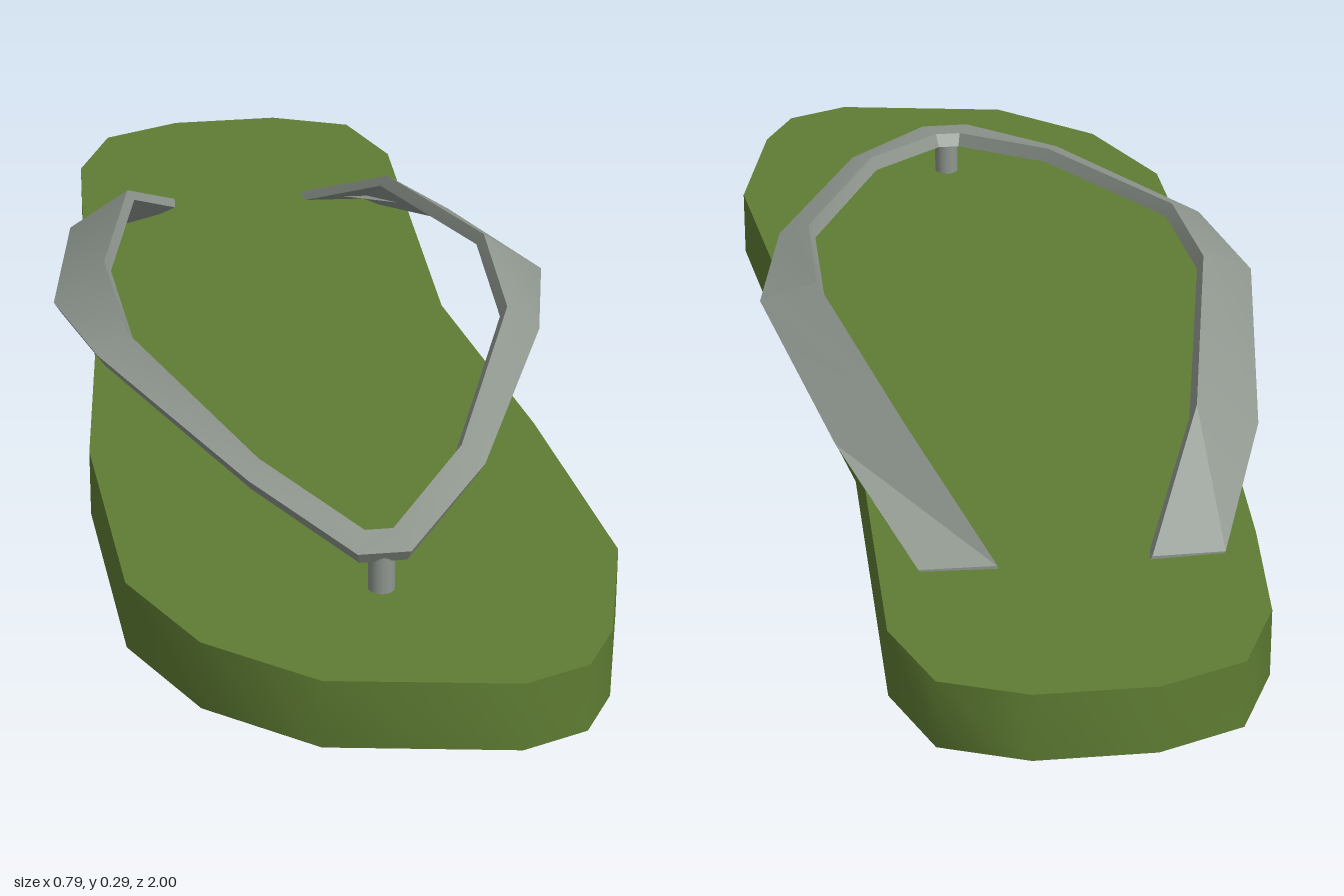
import * as THREE from 'three';
import { toCreasedNormals } from 'three/addons/utils/BufferGeometryUtils.js';

// Sweeps four-cornered sections (outer top, inner top, inner bottom, outer bottom) into a solid band.
function bandGeometry(sections) {
  const index = [];
  const last = (sections.length - 1) * 4;
  for (let i = 0; i < last; i += 4) {
    for (let k = 0; k < 4; k++) {
      const n = (k + 1) % 4;
      index.push(i + k, i + 4 + k, i + 4 + n, i + k, i + 4 + n, i + n);
    }
  }
  index.push(0, 1, 2, 0, 2, 3);
  index.push(last, last + 2, last + 1, last, last + 3, last + 2);
  const geometry = new THREE.BufferGeometry();
  geometry.setAttribute('position', new THREE.Float32BufferAttribute(sections.flat(2), 3));
  geometry.setIndex(index);
  return toCreasedNormals(geometry, 0.35);
}

// Makes a section from its two top edges; the underside leans inward.
function section([ox, oy, oz], [ix, iy, iz], thickness = 0.02) {
  const width = Math.hypot(ix - ox, iz - oz);
  const lean = 0.6 * thickness;
  const dx = ((ix - ox) / width) * lean;
  const dz = ((iz - oz) / width) * lean;
  return [
    [ox, oy, oz], [ix, iy, iz],
    [ix + dx, iy - thickness, iz + dz], [ox + dx, oy - thickness, oz + dz],
  ];
}

export function createModel() {
  const model = new THREE.Group();
  const green = new THREE.MeshStandardMaterial({ color: 0x5f7d33 });
  green.name = 'green foam';
  const grey = new THREE.MeshStandardMaterial({ color: 0x8f978f });
  grey.name = 'grey rubber';

  function add(name, geometry, material) {
    const mesh = new THREE.Mesh(geometry, material);
    mesh.name = name;
    model.add(mesh);
    return mesh;
  }

  // Sole: foot outline as x, z pairs, heel at -z
  const outline = [
    [-0.1, -1], [0.08, -1], [0.21, -0.95], [0.265, -0.81], [0.26, -0.19], [0.335, 0.24],
    [0.385, 0.645], [0.33, 0.87], [0.28, 0.957], [0.18, 0.995], [-0.1, 0.95], [-0.257, 0.825],
    [-0.347, 0.645], [-0.365, 0.24], [-0.315, -0.2], [-0.305, -0.6], [-0.29, -0.82], [-0.23, -0.95],
  ];
  const shape = new THREE.Shape(outline.map(([x, z]) => new THREE.Vector2(x, -z)));
  const sole = new THREE.ExtrudeGeometry(shape, { depth: 0.11, bevelEnabled: false });
  sole.rotateX(-Math.PI / 2);
  add('sole', toCreasedNormals(sole, 1), green);

  // Strap: one band from the right heel side, round the toe, to the left heel side
  const strap = [
    section([-0.25, 0.113, -0.655], [-0.14, 0.115, -0.66]),
    section([-0.34, 0.188, -0.41], [-0.24, 0.24, -0.435]),
    section([-0.397, 0.247, -0.01], [-0.312, 0.295, -0.05]),
    section([-0.345, 0.253, 0.195], [-0.297, 0.28, 0.175]),
    section([-0.155, 0.216, 0.555], [-0.135, 0.231, 0.515]),
    section([-0.018, 0.183, 0.735], [0, 0.192, 0.68]),
    section([0.06, 0.183, 0.735], [0.042, 0.192, 0.68]),
    section([0.2, 0.216, 0.55], [0.17, 0.231, 0.515]),
    section([0.348, 0.253, 0.195], [0.302, 0.28, 0.165]),
    section([0.394, 0.247, -0.03], [0.306, 0.295, -0.07]),
    section([0.305, 0.188, -0.4], [0.205, 0.24, -0.435]),
    section([0.205, 0.113, -0.655], [0.09, 0.115, -0.66]),
  ];
  add('strap', bandGeometry(strap), grey);

  // Toe post between sole and strap
  const post = add('toePost', new THREE.CylinderGeometry(0.02, 0.02, 0.08, 12), grey);
  post.position.set(0.021, 0.14, 0.708);

  return model;
}
